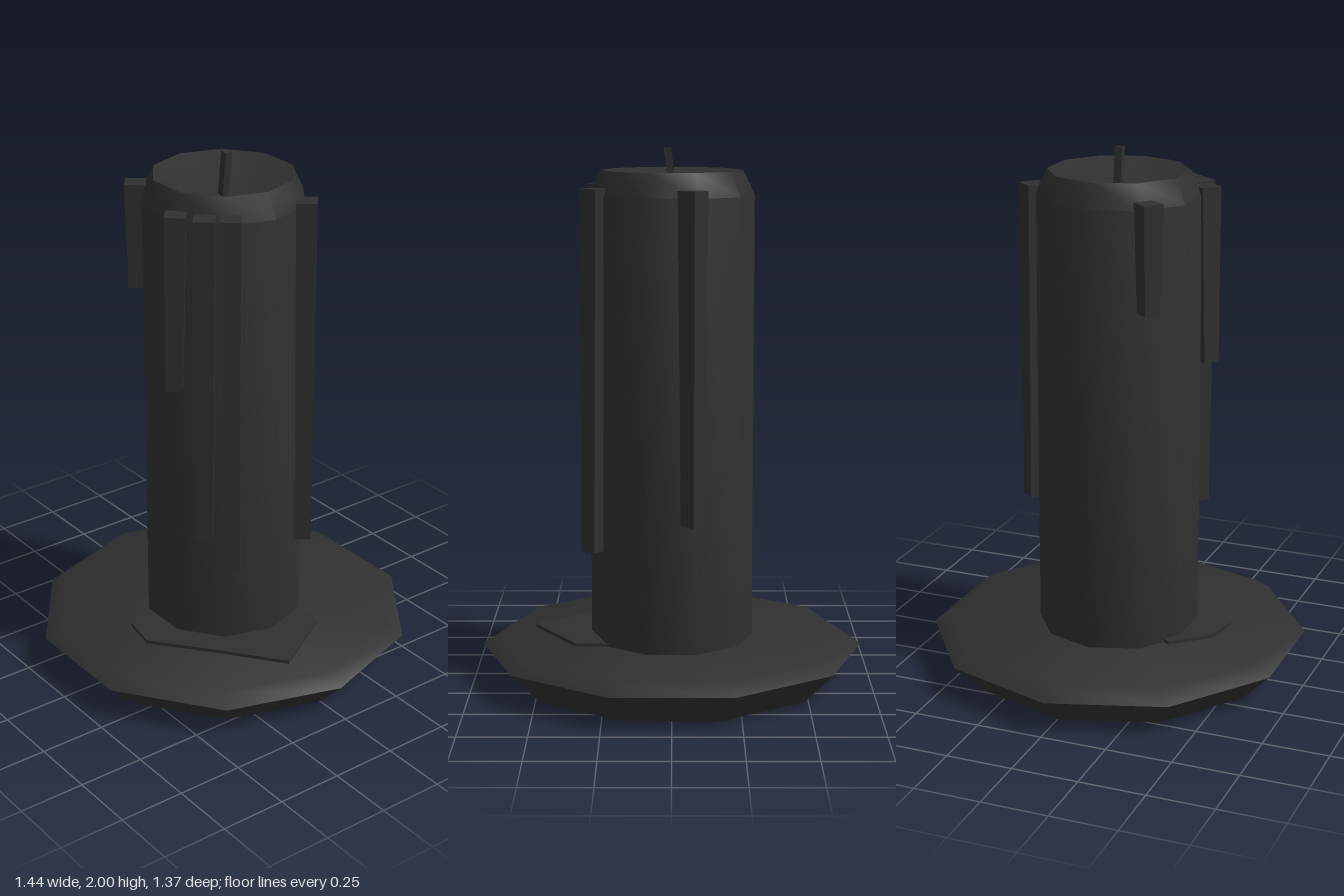
import * as THREE from 'three';
import { toCreasedNormals } from 'three/addons/utils/BufferGeometryUtils.js';

const wax = new THREE.MeshStandardMaterial({ color: 0x303030 });
wax.name = 'charcoal';

function addPart(group, name, geometry, crease = 0.7) {
  const mesh = new THREE.Mesh(toCreasedNormals(geometry, crease), wax);
  mesh.name = name;
  group.add(mesh);
  return mesh;
}

// Ten-sided turned shape with a corner on the +x axis
function turned(profile) {
  const points = profile.map(([r, y]) => new THREE.Vector2(r, y));
  return new THREE.LatheGeometry(points, 10, Math.PI / 10);
}

// Square wax run, narrower at the bottom, keeping its outer edge upright
function dripGeometry(height, dx, dz) {
  const geometry = new THREE.CylinderGeometry(0.055, 0.043, height, 4, 1);
  geometry.rotateY(0.1);
  const p = geometry.attributes.position;
  for (let i = 0; i < p.count; i++) {
    if (p.getY(i) < 0) p.setXYZ(i, p.getX(i) + dx * 0.012, p.getY(i), p.getZ(i) + dz * 0.012);
  }
  return geometry;
}

export function createModel() {
  const group = new THREE.Group();
  group.name = 'candle';

  // Dish with a flared rim
  addPart(group, 'plate', turned([[0, 0], [0.6, 0], [0.72, 0.12], [0.66, 0.16], [0, 0.16]]));

  // Body with bevelled lip and hollowed top
  addPart(group, 'candleBody', turned([[0.305, 0.15], [0.305, 1.83], [0.262, 1.92], [0, 1.83]]));

  // Leaning wick
  const wick = addPart(group, 'wick', new THREE.BoxGeometry(0.028, 0.18, 0.028));
  wick.position.set(0.006, 1.911, -0.003);
  wick.rotation.z = -0.12;

  // Wax runs: x, z, bottom height, outward direction
  const drips = [
    [-0.075, -0.305, 0.65, 0, -1],
    [0.28, -0.157, 0.52, 1, 0],
    [0.267, 0.17, 0.48, 1, 0],
    [0.21, 0.24, 0.61, 0.3, 0.3],
    [0.117, 0.295, 1.2, 0, 1],
    [-0.245, 0.21, 1.46, 0, 0],
  ];
  drips.forEach(([x, z, bottom, dx, dz], i) => {
    const height = 1.86 - bottom;
    const drip = addPart(group, `waxDrip${i + 1}`, dripGeometry(height, dx, dz));
    drip.position.set(x, bottom + height / 2, z);
  });

  // Wax puddle spread on the plate
  const outline = [[0.2, -0.19], [0.36, -0.185], [0.525, 0.09], [0.3, 0.26],
    [0.09, 0.43], [-0.05, 0.405], [-0.17, 0.27], [0, 0]];
  const shape = new THREE.Shape(outline.map(([x, z]) => new THREE.Vector2(x, -z)));
  const puddle = new THREE.ExtrudeGeometry(shape, { depth: 0.016, bevelEnabled: false });
  puddle.rotateX(-Math.PI / 2);
  addPart(group, 'waxPuddle', puddle).position.y = 0.157;

  return group;
}
